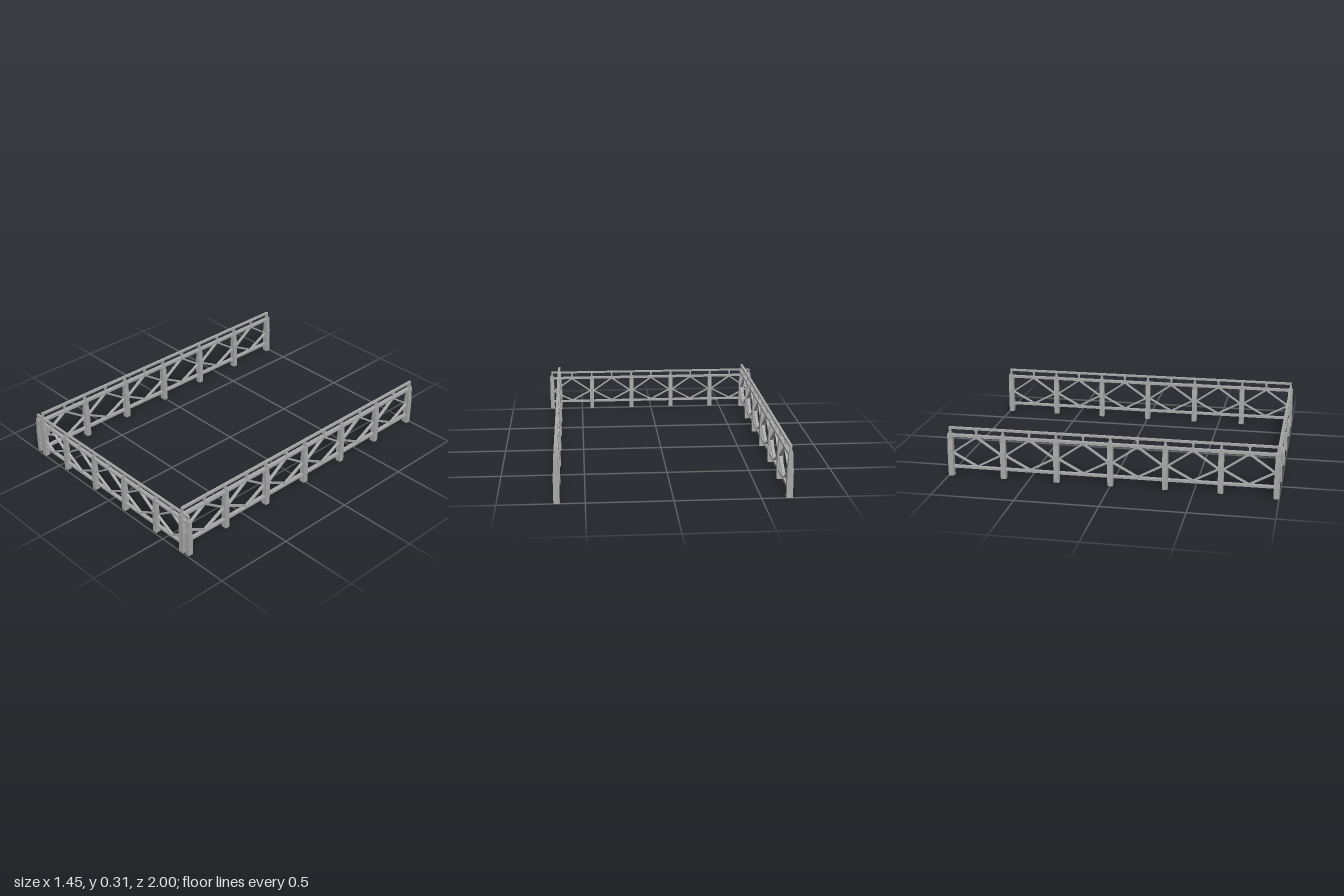
import * as THREE from 'three';

const steel = new THREE.MeshStandardMaterial({ color: 0xa8a8a8 });
steel.name = 'grey steel';

const POST_W = 0.032;   // along the railing
const LOW = 0.058, MID = 0.256, TOP = 0.303;  // rail heights

function add(group, name, geometry, x = 0, y = 0, z = 0) {
  const mesh = new THREE.Mesh(geometry, steel);
  mesh.name = name;
  mesh.position.set(x, y, z);
  group.add(mesh);
  return mesh;
}

// Post with a neck narrowing across the railing
function postGeometry() {
  const half = [[0.018, 0], [0.018, 0.165], [0.0125, 0.225], [0.0125, 0.266]];
  const pts = [...half, ...half.map(([x, y]) => [-x, y]).reverse()];
  const shape = new THREE.Shape(pts.map(([x, y]) => new THREE.Vector2(x, y)));
  const g = new THREE.ExtrudeGeometry(shape, { depth: POST_W, bevelEnabled: false });
  g.translate(0, 0, -POST_W / 2);
  return g.rotateY(Math.PI / 2);
}

// Flat bar between two points in the plane of the railing
function addBrace(group, x1, y1, x2, y2) {
  const length = Math.hypot(x2 - x1, y2 - y1);
  const bar = add(group, 'diagonalBrace', new THREE.BoxGeometry(length, 0.009, 0.018),
    (x1 + x2) / 2, (y1 + y2) / 2, 0);
  bar.rotation.z = Math.atan2(y2 - y1, x2 - x1);
}

// Railing running along x, centred on its own origin
function railing(name, bays, pitch) {
  const group = new THREE.Group();
  group.name = name;
  const length = bays * pitch;
  const start = -length / 2;

  // Rails
  add(group, 'lowerRail', new THREE.BoxGeometry(length, 0.014, 0.024), 0, LOW, 0);
  add(group, 'middleRail', new THREE.BoxGeometry(length, 0.015, 0.026), 0, MID, 0);
  add(group, 'handrail', new THREE.BoxGeometry(length + 0.012, 0.013, 0.016), 0, TOP, 0);

  // Posts and handrail brackets
  const post = postGeometry();
  const bracket = new THREE.BoxGeometry(0.012, TOP - MID, 0.012);
  const collar = new THREE.BoxGeometry(0.016, 0.016, 0.02);
  for (let i = 0; i <= bays; i++) {
    const x = start + i * pitch;
    add(group, 'post', post, x);
    add(group, 'handrailBracket', bracket, x, (TOP + MID) / 2, 0);
    add(group, 'bracketCollar', collar, x, 0.272, 0);
  }

  // Diamond bracing and mid-bay brackets
  const side = 0.145, high = MID - 0.006, low = LOW + 0.006;
  for (let i = 0; i < bays; i++) {
    const a = start + i * pitch + 0.013;
    const b = start + (i + 1) * pitch - 0.013;
    const m = (a + b) / 2;
    for (const end of [a, b]) {
      addBrace(group, end, side, m, high);
      addBrace(group, end, side, m, low);
    }
    add(group, 'handrailBracket', bracket, m, (TOP + MID) / 2, 0);
    add(group, 'bracketCollar', new THREE.BoxGeometry(0.016, 0.008, 0.02), m, TOP - 0.01, 0);
  }
  return group;
}

export function createModel() {
  const model = new THREE.Group();
  model.name = 'railings';

  // Long side railings
  for (const s of [-1, 1]) {
    const side = railing(s > 0 ? 'leftRailing' : 'rightRailing', 6, 0.328);
    side.rotation.y = Math.PI / 2;
    side.position.x = s * 0.661;
    model.add(side);
  }

  // Slightly smaller front railing
  const front = railing('frontRailing', 5, 0.328);
  front.scale.setScalar(0.87);
  front.position.set(0, 0.008, 0.984);
  model.add(front);

  return model;
}
